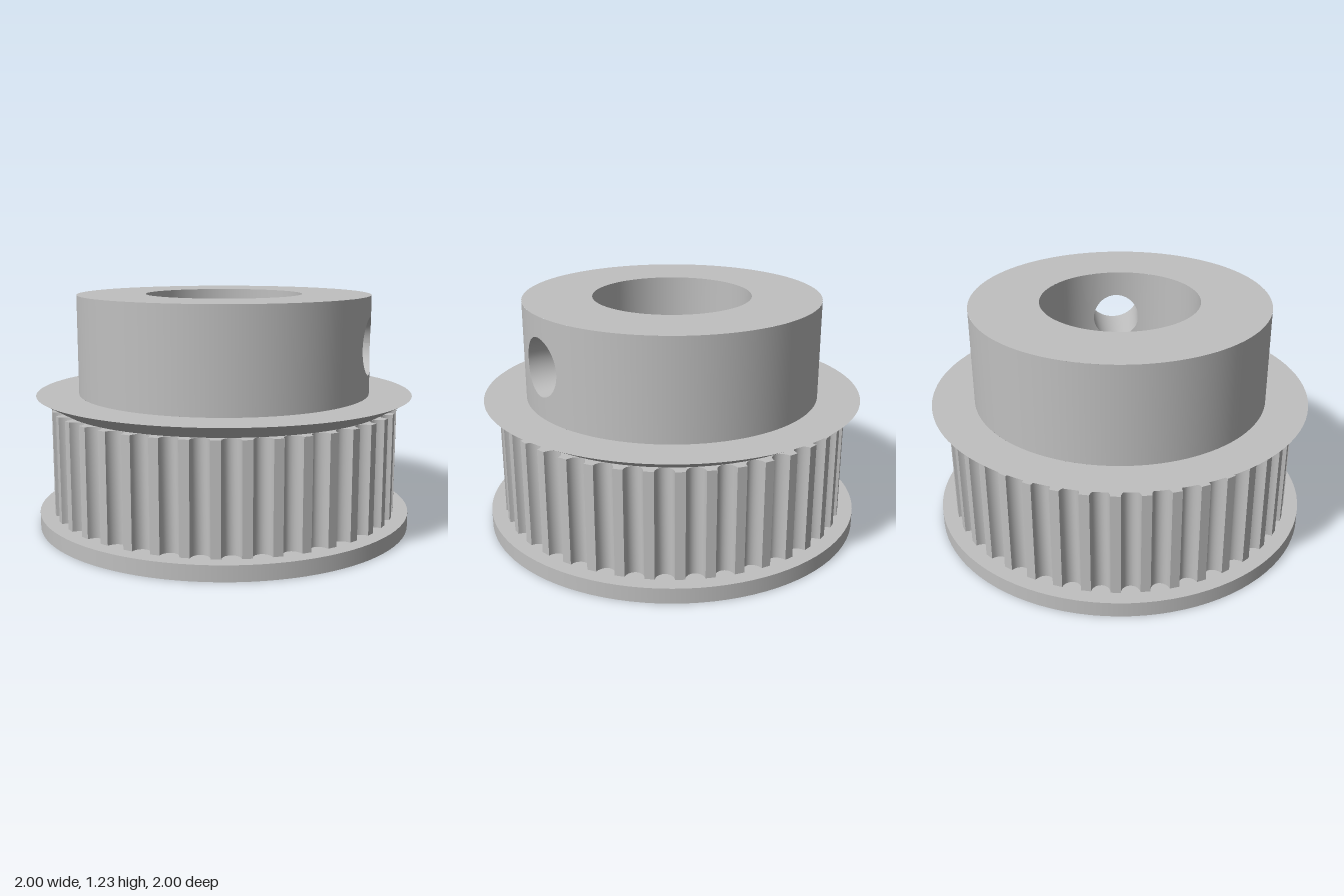
import * as THREE from 'three';
import { mergeGeometries, toCreasedNormals } from 'three/addons/utils/BufferGeometryUtils.js';

const BORE = 0.415, HUB = 0.777, RIM = 1, TIP = 0.923, ROOT = 0.87;
const Y_LOW = 0.08, Y_TEETH = 0.635, Y_FLANGE = 0.708, Y_TOP = 1.228;
const PORT_Y = 0.97, PORT_OUT = 0.15, PORT_IN = 0.125;

// One revolved band between two profile points, leaving a gap of +-gap radians around +x
const band = (r0, y0, r1, y1, gap = 0) => new THREE.LatheGeometry(
  [new THREE.Vector2(r0, y0), new THREE.Vector2(r1, y1)], 96,
  Math.PI / 2 + gap, Math.PI * 2 - 2 * gap);

// Surface sampled from f(u, t), with t running once around
function surface(f, nu = 6, nt = 48) {
  const pos = [], index = [];
  for (let i = 0; i <= nu; i++) {
    for (let j = 0; j <= nt; j++) pos.push(...f(i / nu, (j / nt) * Math.PI * 2));
  }
  for (let i = 0; i < nu; i++) {
    for (let j = 0; j < nt; j++) {
      const a = i * (nt + 1) + j, b = a + nt + 1;
      index.push(a, b, b + 1, a, b + 1, a + 1);
    }
  }
  const g = new THREE.BufferGeometry();
  g.setAttribute('position', new THREE.Float32BufferAttribute(pos, 3));
  g.setIndex(index);
  g.computeVertexNormals();
  return g;
}

// Cylinder wall patch around the round port, from the hole out to a rectangle
function portPatch(R, h, gap, inward) {
  const g = surface((u, t) => {
    const k = inward ? 1 - u : u;
    const c = -Math.cos(t), s = Math.sin(t), m = Math.max(Math.abs(c), Math.abs(s));
    const phi = THREE.MathUtils.lerp(Math.asin((h * c) / R), (gap * c) / m, k);
    const edge = s > 0 ? Y_TOP - PORT_Y : PORT_Y - Y_FLANGE;
    const y = PORT_Y + THREE.MathUtils.lerp(h * s, (edge * s) / m, k);
    return [R * Math.cos(phi), y, R * Math.sin(phi)];
  });
  // exact cylinder normals
  const p = g.attributes.position, n = g.attributes.normal, sign = inward ? -1 : 1;
  for (let i = 0; i < p.count; i++) n.setXYZ(i, sign * p.getX(i) / R, 0, sign * p.getZ(i) / R);
  return g;
}

// Slightly tapered set screw port through the hub wall
const portTunnel = () => surface((u, t) => {
  const h = THREE.MathUtils.lerp(PORT_IN, PORT_OUT, u), z = -h * Math.cos(t);
  const x = THREE.MathUtils.lerp(Math.sqrt(BORE ** 2 - z * z), Math.sqrt(HUB ** 2 - z * z), u);
  return [x, PORT_Y + h * Math.sin(t), z];
});

// Toothed ring with rounded grooves
function teethGeometry() {
  const count = 40, steps = 10, half = 0.052, pts = [];
  const pitch = (Math.PI * 2) / count;
  for (let i = 0; i < count; i++) {
    for (let j = 0; j <= steps; j++) {
      const a = Math.PI * (j / steps);
      const ang = i * pitch - half * Math.cos(a);
      const r = TIP - (TIP - ROOT) * Math.sin(a);
      pts.push(new THREE.Vector2(r * Math.cos(ang), r * Math.sin(ang)));
    }
  }
  const shape = new THREE.Shape(pts);
  shape.holes.push(new THREE.Path().absarc(0, 0, 0.8, 0, Math.PI * 2, true));
  const g = new THREE.ExtrudeGeometry(shape, {
    depth: Y_TEETH - Y_LOW, bevelEnabled: false, curveSegments: 48,
  });
  g.rotateX(-Math.PI / 2).translate(0, Y_LOW, 0);
  return toCreasedNormals(g, 0.6);
}

export function createModel() {
  const group = new THREE.Group();
  const metal = new THREE.MeshStandardMaterial({ color: 0xc0c0c0 });
  metal.name = 'light grey metal';
  const add = (name, ...geos) => {
    const mesh = new THREE.Mesh(geos.length > 1 ? mergeGeometries(geos) : geos[0], metal);
    mesh.name = name;
    group.add(mesh);
  };

  add('lowerFlange',
    band(BORE, 0, RIM, 0),
    band(RIM, 0, RIM, Y_LOW),
    band(RIM, Y_LOW, 0.82, Y_LOW));

  add('teeth', teethGeometry());

  add('upperFlange',
    band(ROOT, Y_TEETH, RIM, Y_FLANGE),
    band(RIM, Y_FLANGE, HUB, Y_FLANGE));

  add('hub',
    band(HUB, Y_FLANGE, HUB, Y_TOP, 0.3),
    band(HUB, Y_TOP, BORE, Y_TOP));
  add('hubPortWall', portPatch(HUB, PORT_OUT, 0.3, false));

  add('bore',
    band(BORE, Y_FLANGE, BORE, 0),
    band(BORE, Y_TOP, BORE, Y_FLANGE, 0.5));
  add('borePortWall', portPatch(BORE, PORT_IN, 0.5, true));

  add('setScrewPort', portTunnel());
  return group;
}
